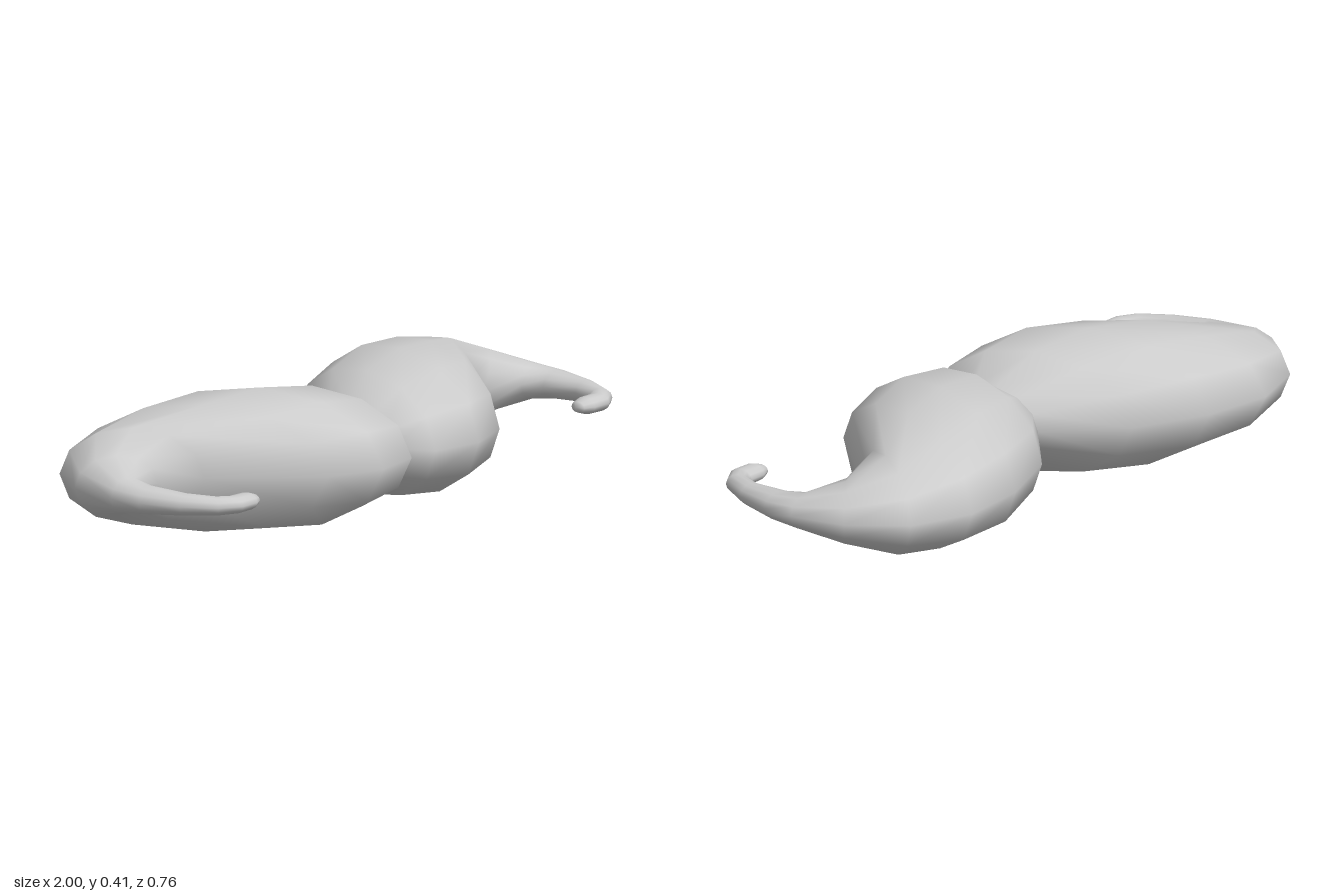
import * as THREE from 'three';
import { mergeVertices } from 'three/addons/utils/BufferGeometryUtils.js';

const MID_Y = 0.207;
const SIDES = 12;

// Cross-sections from the centre to the curled tip:
// outer edge x, z; inner edge x, z; half height
const SECTIONS = [
  [0.00, -0.08, 0.00, 0.235, 0.10],
  [0.20, -0.265, 0.055, 0.35, 0.182],
  [0.43, -0.36, 0.22, 0.378, 0.207],
  [0.65, -0.385, 0.395, 0.315, 0.187],
  [0.84, -0.315, 0.63, 0.05, 0.142],
  [0.96, -0.165, 0.765, -0.015, 0.09],
  [1.00, 0.00, 0.875, 0.015, 0.052],
  [1.00, 0.10, 0.893, 0.08, 0.042],
  [0.965, 0.22, 0.89, 0.20, 0.033],
  [0.91, 0.32, 0.862, 0.27, 0.028],
  [0.845, 0.36, 0.835, 0.285, 0.026],
  [0.78, 0.36, 0.78, 0.285, 0.025],
  [0.75, 0.345, 0.75, 0.297, 0.016],
  [0.74, 0.32, 0.74, 0.32, 0],
];

// Loft elliptical rings through the sections; side is +1 or -1 in x
function halfGeometry(side) {
  const positions = [];
  const index = [];
  for (const [ox, oz, ix, iz, h] of SECTIONS) {
    for (let j = 0; j < SIDES; j++) {
      const a = (j / SIDES) * Math.PI * 2;
      const t = (1 + Math.cos(a)) / 2;
      positions.push(
        side * (ix + (ox - ix) * t),
        MID_Y + h * Math.sin(a),
        iz + (oz - iz) * t
      );
    }
  }
  const addTriangle = (a, b, c) => (side > 0 ? index.push(a, b, c) : index.push(a, c, b));
  const last = SECTIONS.length - 1;
  for (let i = 0; i < last; i++) {
    for (let j = 0; j < SIDES; j++) {
      const k = (j + 1) % SIDES;
      const a = i * SIDES + j, b = i * SIDES + k;
      const c = a + SIDES, d = b + SIDES;
      addTriangle(a, b, c);
      if (i < last - 1) addTriangle(b, d, c); // the final ring is a point
    }
  }
  const geometry = new THREE.BufferGeometry();
  geometry.setAttribute('position', new THREE.Float32BufferAttribute(positions, 3));
  geometry.setIndex(index);
  const welded = mergeVertices(geometry, 1e-5);
  welded.computeVertexNormals();
  return welded;
}

export function createModel() {
  const model = new THREE.Group();
  model.name = 'moustache';
  const material = new THREE.MeshStandardMaterial({ color: 0xcccccc });
  // Mirrored halves meeting at the centre
  for (const [name, side] of [['leftHalf', 1], ['rightHalf', -1]]) {
    const half = new THREE.Mesh(halfGeometry(side), material);
    half.name = name;
    model.add(half);
  }
  return model;
}
